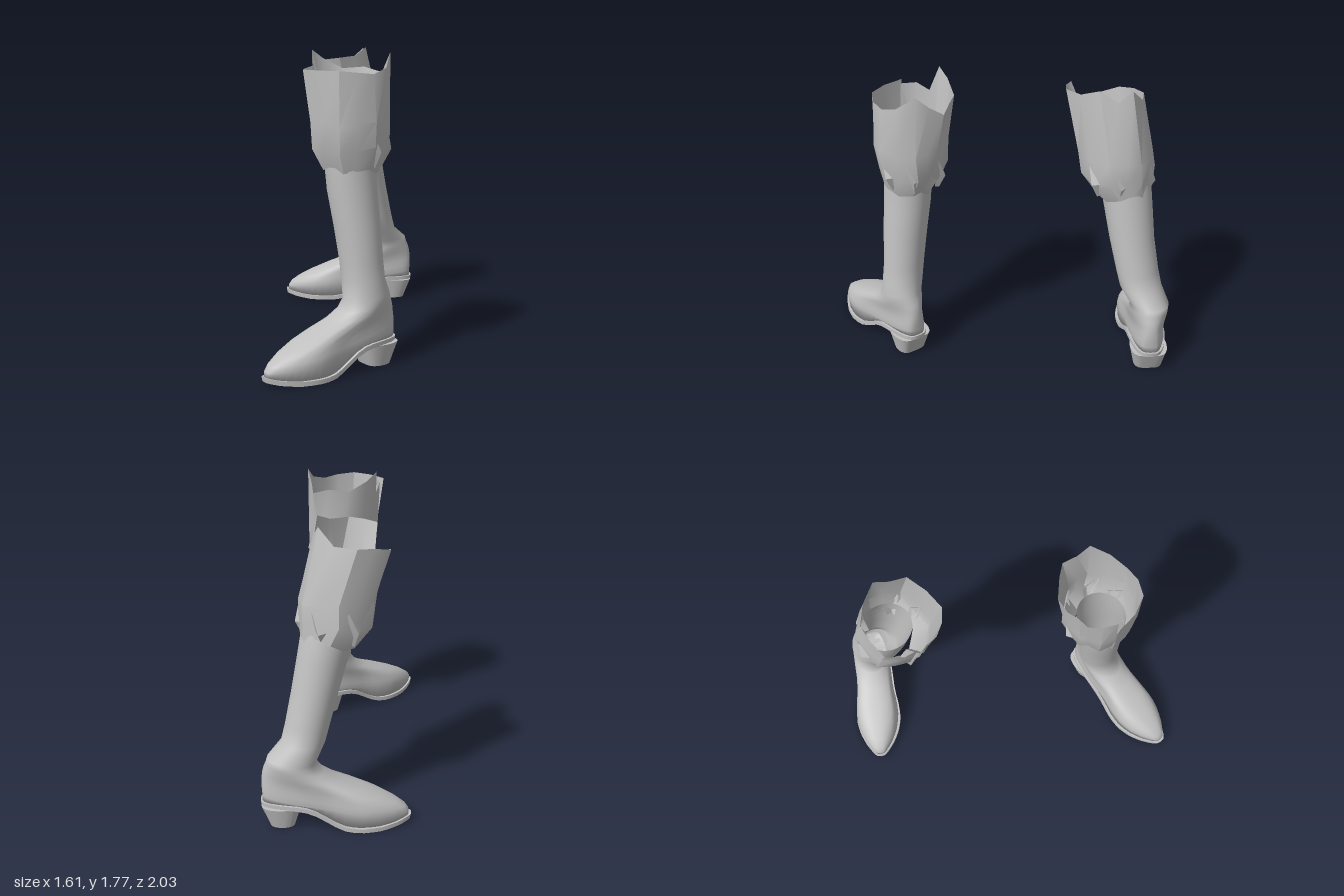
import * as THREE from 'three';
import { toCreasedNormals } from 'three/addons/utils/BufferGeometryUtils.js';

const leather = new THREE.MeshStandardMaterial({ color: 0xc0c0c0, side: THREE.DoubleSide });
leather.name = 'grey leather';

// piecewise linear lookup in [[x, value], ...]
function lookup(table, x) {
  if (x <= table[0][0]) return table[0][1];
  for (let i = 1; i < table.length; i++) {
    const [x0, v0] = table[i - 1], [x1, v1] = table[i];
    if (x <= x1) return v0 + (v1 - v0) * (x - x0) / (x1 - x0);
  }
  return table[table.length - 1][1];
}
// half width of the foot and height of the sole's underside, from heel (0) to toe (0.85)
const halfWidth = s => lookup([[0, .112], [.2, .118], [.4, .118], [.5, .138], [.6, .15], [.68, .142], [.76, .12], [.85, .075]], s);
const soleY = s => lookup([[0, .125], [.2, .125], [.27, .115], [.33, .09], [.39, .05], [.45, .018], [.51, .002], [.7, .002], [.8, .012], [.87, .028]], s);

// skin through rings of points, listed from the bottom up
function loft(name, rings, closed = true, crease = 0) {
  const n = rings[0].length, pos = rings.flat(2), index = [];
  for (let j = 0; j < rings.length - 1; j++) {
    for (let i = 0; i < (closed ? n : n - 1); i++) {
      const k = (i + 1) % n;
      const a = j * n + i, b = j * n + k, c = b + n, d = a + n;
      index.push(a, b, c, a, c, d);
    }
  }
  let g = new THREE.BufferGeometry();
  g.setAttribute('position', new THREE.Float32BufferAttribute(pos, 3));
  g.setIndex(index);
  g.computeVertexNormals();
  if (crease) g = toCreasedNormals(g, crease);
  const mesh = new THREE.Mesh(g, leather);
  mesh.name = name;
  return mesh;
}

const SIDES = 48;
function makeBoot(name, o) {
  const len = Math.hypot(...o.dir), dx = o.dir[0] / len, dz = o.dir[1] / len;
  const toWorld = (s, w, y) => [o.heel[0] + dx * s + dz * w, y, o.heel[1] + dz * s - dx * w];
  // foot-shaped ring between s = b and s = f, with y as a function of s
  const footRing = (b, f, yAt, power, widthAt) => Array.from({ length: SIDES }, (_, i) => {
    const t = i / SIDES * Math.PI * 2, s = (b + f) / 2 + (f - b) / 2 * Math.cos(t);
    const w = Math.sign(Math.sin(t)) * Math.abs(Math.sin(t)) ** power * widthAt(s);
    return toWorld(s, w, yAt(s));
  });
  // upright ellipse used by the shaft
  const shaftRing = ([y, cx, cz, rx, rz]) => Array.from({ length: SIDES }, (_, i) => {
    const t = i / SIDES * Math.PI * 2, c = Math.cos(t), s = Math.sin(t);
    return [cx + (dx * c + dz * s) * rx, y, cz + (dz * c - dx * s) * rz];
  });
  const boot = new THREE.Group();
  boot.name = name;

  // foot and shaft in one skin: tilted rings fan from the sole up to the ankle
  const fan = [ // back s, back y, front s, front y, roundness, width scale
    [0, .19, .85, .075, .6, 1], [-.003, .23, .83, .105, .65, .98], [-.003, .27, .78, .14, .72, .96],
    [0, .3, .7, .18, .8, .96], [.004, .33, .58, .23, .86, .98], [.012, .36, .46, .275, .92, 1],
    [.025, .39, .36, .33, .96, 1], [.035, .425, .315, .39, 1, 1]];
  const inset = s => halfWidth(s) - .008;
  const rings = [
    footRing(.03, .82, s => soleY(s) + .026, .6, () => 0),
    footRing(0, .85, s => soleY(s) + .026, .6, inset),
    ...fan.map(([b, yb, f, yf, p, k]) =>
      footRing(b, f, s => yb + (yf - yb) * (s - b) / (f - b), p, s => halfWidth(s) * k)),
    ...o.shaft.map(shaftRing)];
  boot.add(loft('footAndShaft', rings));

  // thin sole with a narrow welt
  const welt = s => halfWidth(s) + .008, core = () => 0;
  const top = s => soleY(s) + .026;
  boot.add(loft('sole', [
    footRing(-.008, .86, soleY, .6, core), footRing(-.008, .86, soleY, .6, welt),
    footRing(-.01, .865, top, .6, welt), footRing(-.01, .865, top, .6, core)], true, .7));

  // stacked heel block
  const low = () => .001, high = () => .128;
  boot.add(loft('heel', [
    footRing(.045, .19, low, .45, core), footRing(.045, .19, low, .45, () => .088),
    footRing(-.004, .228, high, .45, () => .115), footRing(-.004, .228, high, .45, core)], true, .6));

  // ragged folded cuff, open with an overlap at the front slit
  const rim = o.rim, cx = o.rimCentre[0], cz = o.rimCentre[1];
  const cuff = o.cuff.map(([y, x, z, rx, rz, fold, tilt]) => rim.map((p, i) => {
    const a = Math.atan2(p[0] - cx, p[1] - cz), last = i === rim.length - 1;
    const bump = 1 + fold * [1, -.4, .3, -.8, .9, -.6][i % 6];
    const k = last ? .93 : bump;
    return [x + Math.sin(a) * rx * k, y - tilt * Math.cos(a) + fold * .35 * [0, 1, -1][i % 3], z + Math.cos(a) * rz * k];
  }));
  cuff.push(rim.map(([x, z, y]) => [x, y, z]));
  boot.add(loft('cuff', cuff, false, .65));

  // pinched folds standing out around the lower cuff
  const [fy, fx, fz, frx, frz] = o.cuff[1];
  o.folds.forEach(a => {
    const at = (ang, k, dy) => [fx + Math.sin(ang) * frx * k, fy + dy, fz + Math.cos(ang) * frz * k];
    boot.add(loft('cuffFold', [
      [at(a - .1, .76, -.1), at(a, .86, -.1), at(a + .2, .76, -.08)],
      [at(a - .2, .93, 0), at(a - .02, 1.09, -.01), at(a + .2, .93, 0)],
      [at(a - .28, .98, .1), at(a - .24, 1.0, .11), at(a - .18, .98, .1)]], false, .5));
  });
  return boot;
}

export function createModel() {
  const model = new THREE.Group();
  model.name = 'pairOfBoots';
  model.add(makeBoot('leftBoot', {
    heel: [.695, .147], dir: [-.1, .85],
    // y, centre x, centre z, radius x, radius z
    shaft: [[.5, .655, .328, .12, .128], [.6, .64, .328, .12, .128], [.8, .612, .335, .132, .135],
      [1, .578, .342, .138, .147], [1.15, .562, .343, .141, .15], [1.28, .555, .343, .143, .15]],
    rimCentre: [.53, .32],
    rim: [[.41, .56, 1.67], [.54, .56, 1.67], [.66, .52, 1.67], [.72, .43, 1.66], [.735, .33, 1.65],
      [.72, .22, 1.68], [.65, .12, 1.76], [.58, .09, 1.69], [.51, .045, 1.64], [.42, .1, 1.67],
      [.32, .18, 1.66], [.275, .29, 1.72], [.27, .37, 1.77], [.32, .41, 1.62], [.36, .48, 1.66], [.44, .53, 1.66]],
    // y, centre x, centre z, radius x, radius z, folding, tilt
    cuff: [[1.11, .563, .337, .15, .158, .04, -.01], [1.23, .545, .322, .2, .218, .06, 0],
      [1.38, .545, .328, .218, .226, .03, 0]],
    folds: [1.7, 2.5, 3.5, 4.5],
  }));
  model.add(makeBoot('rightBoot', {
    heel: [-.225, -.972], dir: [-.66, .75],
    shaft: [[.5, -.345, -.757, .129, .127], [.6, -.345, -.722, .13, .129], [.8, -.348, -.662, .137, .136],
      [1, -.358, -.61, .147, .147], [1.1, -.362, -.585, .153, .15], [1.25, -.365, -.545, .155, .15]],
    rimCentre: [-.37, -.39],
    rim: [[-.43, -.18, 1.54], [-.35, -.21, 1.51], [-.31, -.155, 1.67], [-.23, -.19, 1.68], [-.17, -.25, 1.69],
      [-.16, -.38, 1.7], [-.19, -.5, 1.75], [-.26, -.58, 1.68], [-.34, -.62, 1.74], [-.45, -.6, 1.65],
      [-.55, -.52, 1.64], [-.575, -.42, 1.63], [-.58, -.3, 1.6], [-.5, -.23, 1.57], [-.41, -.215, 1.54]],
    cuff: [[1.07, -.362, -.578, .162, .156, .04, .035], [1.18, -.36, -.515, .212, .215, .06, .02],
      [1.32, -.352, -.492, .208, .236, .03, 0]],
    folds: [1.6, 2.4, 3.6, 4.6],
  }));
  return model;
}
